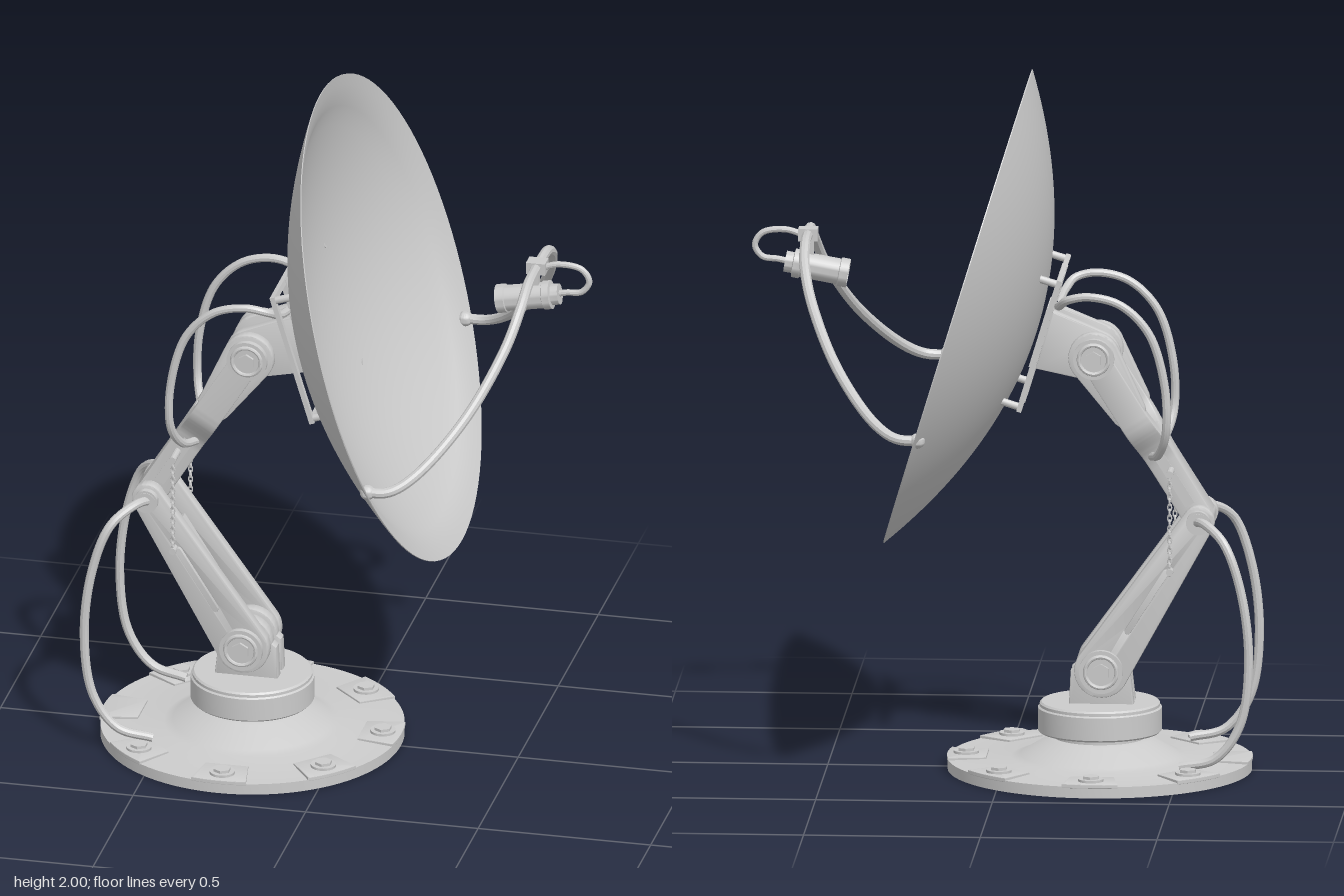
import * as THREE from 'three';
import { toCreasedNormals } from 'three/addons/utils/BufferGeometryUtils.js';

const material = new THREE.MeshStandardMaterial({ color: 0xcccccc, side: THREE.DoubleSide });
const V = (x, y, z) => new THREE.Vector3(x, y, z);

export function createModel() {
  const model = new THREE.Group();

  function add(name, geometry, x = 0, y = 0, z = 0, parent = model) {
    const mesh = new THREE.Mesh(toCreasedNormals(geometry, 0.6), material);
    mesh.name = name;
    mesh.position.set(x, y, z);
    parent.add(mesh);
    return mesh;
  }
  const lathe = (pts, seg = 64) =>
    new THREE.LatheGeometry(pts.map(([r, y]) => new THREE.Vector2(r, y)), seg);
  const pin = (r, length, seg = 32) => new THREE.CylinderGeometry(r, r, length, seg).rotateX(Math.PI / 2);
  const tube = (pts, r, seg = 64) =>
    new THREE.TubeGeometry(new THREE.CatmullRomCurve3(pts.map((p) => V(...p))), seg, r, 10);
  const extrude = (shape, depth, bevel = 0.005) => new THREE.ExtrudeGeometry(shape, {
    depth: depth - 2 * bevel, bevelEnabled: bevel > 0, bevelSize: bevel,
    bevelThickness: bevel, bevelSegments: 2, curveSegments: 20,
  }).translate(0, 0, bevel - depth / 2);

  // Tapered link outline running along +x with rounded ends and an optional slot
  function linkShape(length, r1, r2, slot) {
    const a = Math.acos((r1 - r2) / length);
    const s = new THREE.Shape();
    s.absarc(0, 0, r1, a, 2 * Math.PI - a, false);
    s.absarc(length, 0, r2, -a, a, false);
    s.closePath();
    if (slot) {
      const h = new THREE.Path();
      h.absarc(slot[0], 0, 0.012, Math.PI / 2, Math.PI * 1.5, false);
      h.absarc(slot[1], 0, 0.012, -Math.PI / 2, Math.PI / 2, false);
      h.closePath();
      s.holes.push(h);
    }
    return s;
  }

  // Round bearing cap with a ring and a hub on both sides of a joint
  function jointCaps(name, x, y, r, z) {
    for (const side of [1, -1]) {
      add(name, pin(r, 0.022), x, y, side * z);
      add(name + 'Ring', new THREE.TorusGeometry(r * 0.72, 0.006, 8, 32), x, y, side * (z + 0.011));
      add(name + 'Hub', pin(r * 0.42, 0.016, 6), x, y, side * (z + 0.012));
    }
  }

  const baseX = -0.27;
  const shoulder = V(-0.28, 0.297, 0), elbow = V(-0.555, 0.73, 0), wrist = V(-0.26, 1.2, 0);

  // Base plate, hollow underneath
  add('basePlate', lathe([[0.2, 0.004], [0.43, 0], [0.43, 0.032], [0.25, 0.036], [0.225, 0.043],
    [0.15, 0.088], [0.13, 0.092], [0.13, 0.06], [0.2, 0.004]], 96), baseX);
  add('turret', lathe([[0, 0.05], [0.128, 0.05], [0.128, 0.108], [0.17, 0.108], [0.175, 0.113],
    [0.175, 0.178], [0.17, 0.182], [0.17, 0.19], [0.165, 0.195], [0, 0.195]]), baseX);

  // Anchor pads with bolts around the rim
  const padShape = new THREE.Shape();
  padShape.moveTo(0.32, -0.06);
  padShape.lineTo(0.423, -0.077);
  padShape.quadraticCurveTo(0.437, 0, 0.423, 0.077);
  padShape.lineTo(0.32, 0.06);
  for (let i = 0; i < 8; i++) {
    const a = (i * Math.PI) / 4;
    const pad = extrude(padShape, 0.012, 0.002).rotateX(-Math.PI / 2).rotateY(a);
    add('anchorPad', pad, baseX, 0.034, 0);
    if (i === 4) continue;
    const bx = baseX + 0.378 * Math.cos(a), bz = -0.378 * Math.sin(a);
    add('boltWasher', new THREE.CylinderGeometry(0.036, 0.036, 0.008, 24), bx, 0.043, bz);
    add('boltHead', new THREE.CylinderGeometry(0.025, 0.025, 0.014, 6), bx, 0.048, bz);
  }

  // Shoulder lugs on the turret
  const lug = new THREE.Shape();
  lug.moveTo(-0.085, -0.11);
  lug.lineTo(0.09, -0.11);
  lug.lineTo(0.085, -0.01);
  lug.absarc(0, 0, 0.072, 0, Math.PI, false);
  for (const side of [1, -1]) add('shoulderLug', extrude(lug, 0.038), shoulder.x, shoulder.y, side * 0.03);
  add('shoulderPin', pin(0.035, 0.18), shoulder.x, shoulder.y, 0);
  jointCaps('shoulderCap', shoulder.x, shoulder.y, 0.062, 0.096);

  // Lower arm: two slotted plates with a cross web
  const lower = new THREE.Group();
  lower.name = 'lowerArm';
  lower.position.copy(shoulder);
  lower.rotation.z = Math.atan2(elbow.y - shoulder.y, elbow.x - shoulder.x);
  model.add(lower);
  const lowerLength = shoulder.distanceTo(elbow);
  for (const side of [1, -1]) {
    add('lowerArmPlate', extrude(linkShape(lowerLength, 0.072, 0.04, [0.14, 0.34]), 0.036), 0, 0, side * 0.072, lower);
    add('slotStrip', extrude(linkShape(0.2, 0.007, 0.007), 0.02, 0.002), 0.14, 0, side * 0.09, lower);
  }
  add('lowerArmWeb', new THREE.BoxGeometry(0.26, 0.025, 0.12), 0.26, 0, 0, lower);

  // Elbow joint
  add('elbowPin', pin(0.028, 0.22), elbow.x, elbow.y, 0);
  add('elbowBarrel', pin(0.042, 0.105), elbow.x, elbow.y, 0);
  for (const side of [1, -1]) add('elbowCap', pin(0.034, 0.02), elbow.x, elbow.y, side * 0.098);

  // Upper arm: a fork whose prongs hold the wrist
  const upper = new THREE.Group();
  upper.name = 'upperArm';
  upper.position.copy(elbow);
  upper.rotation.z = Math.atan2(wrist.y - elbow.y, wrist.x - elbow.x);
  model.add(upper);
  const L = elbow.distanceTo(wrist);
  const fork = new THREE.Shape();
  fork.moveTo(0, -0.045);
  fork.lineTo(0.19, -0.045);
  fork.bezierCurveTo(0.27, -0.05, 0.27, -0.1, 0.34, -0.1);
  fork.lineTo(L - 0.03, -0.1);
  fork.lineTo(L - 0.03, -0.072);
  fork.lineTo(0.37, -0.072);
  fork.bezierCurveTo(0.26, -0.065, 0.26, 0.065, 0.37, 0.072);
  fork.lineTo(L - 0.03, 0.072);
  fork.lineTo(L - 0.03, 0.1);
  fork.lineTo(0.34, 0.1);
  fork.bezierCurveTo(0.27, 0.1, 0.27, 0.05, 0.19, 0.045);
  fork.lineTo(0, 0.045);
  add('fork', extrude(fork, 0.085).rotateX(Math.PI / 2), 0, 0, 0, upper);
  for (const side of [1, -1]) {
    add('prongEnd', extrude(linkShape(0.18, 0.045, 0.068), 0.032), L - 0.18, 0, side * 0.086, upper);
    add('armRail', new THREE.BoxGeometry(0.16, 0.03, 0.012), 0.13, 0, side * 0.048, upper);
  }

  // Wrist joint and the bracket carrying the dish
  jointCaps('wristCap', wrist.x, wrist.y, 0.058, 0.108);
  add('wristPin', pin(0.045, 0.19), wrist.x, wrist.y, 0);
  const bracket = new THREE.Shape();
  bracket.absarc(0, 0, 0.068, 1.95, 4.9, false);
  bracket.lineTo(0.162, -0.035);
  bracket.lineTo(0.117, 0.122);
  for (const side of [1, -1]) add('dishBracket', extrude(bracket, 0.035), wrist.x, wrist.y, side * 0.05);

  // Dish group: local y is the dish axis, local x points down its face
  const head = new THREE.Group();
  head.name = 'dishHead';
  head.position.set(0.13, 1.325, 0);
  head.rotation.z = 0.297 - Math.PI / 2;
  model.add(head);
  const R = 0.7, depth = 0.232, profile = [];
  for (let i = 0; i <= 24; i++) {
    const r = (R * i) / 24;
    profile.push([r, -depth * (1 - (r / R) ** 2)]);
  }
  profile.push([R, 0.003], [0.67, -0.008], [0.635, -0.024], [0.615, -0.037], [0.595, -0.05]);
  for (let i = 19; i >= 0; i--) {
    const r = (0.595 * i) / 20;
    profile.push([r, -0.05 - 0.166 * (1 - (r / 0.595) ** 2)]);
  }
  add('dish', lathe(profile, 96), 0, 0, 0, head);

  // Mounting frame behind the dish
  for (const side of [1, -1]) {
    add('frameCrossbar', new THREE.BoxGeometry(0.016, 0.014, 0.39), side * 0.19, -0.252, 0, head);
    add('frameSidebar', new THREE.BoxGeometry(0.39, 0.014, 0.016), 0, -0.252, side * 0.187, head);
    add('frameRail', new THREE.BoxGeometry(0.39, 0.018, 0.028), 0, -0.252, side * 0.05, head);
    for (const end of [1, -1])
      add('frameStandoff', new THREE.CylinderGeometry(0.011, 0.011, 0.075, 12), end * 0.185, -0.222, side * 0.183, head);
  }
  add('mountPlate', new THREE.BoxGeometry(0.18, 0.02, 0.15), 0, -0.25, 0, head);

  // Feed support: one bent tube from rim to rim
  const half = [[0.2, 1.06, 0.612], [0.265, 1.064, 0.605], [0.33, 1.1, 0.565], [0.445, 1.23, 0.43],
    [0.527, 1.39, 0.285], [0.552, 1.48, 0.2], [0.556, 1.522, 0.12]];
  const mirrored = half.map(([x, y, z]) => [x, y, -z]).reverse();
  add('feedSupport', tube([...half, [0.556, 1.528, 0], ...mirrored], 0.015, 140));
  for (const side of [1, -1]) add('supportFoot', new THREE.SphereGeometry(0.022, 16, 12), 0.205, 1.06, side * 0.61);

  // Feed horn with its clamp and cable loop
  const horn = add('feedHorn', lathe([[0, -0.07], [0.032, -0.07], [0.034, -0.09], [0.041, -0.09], [0.041, -0.065],
    [0.037, -0.063], [0.037, 0.045], [0.041, 0.047], [0.041, 0.068], [0.03, 0.07], [0.03, 0.092], [0, 0.092]], 32),
    0.53, 1.432, 0);
  horn.rotation.z = 0.18 - Math.PI / 2;
  add('feedClampPost', new THREE.BoxGeometry(0.022, 0.09, 0.02), 0.55, 1.49, 0);
  add('feedClamp', new THREE.BoxGeometry(0.055, 0.035, 0.045), 0.555, 1.528, 0);
  add('feedCable', tube([[0.56, 1.522, 0], [0.62, 1.54, 0], [0.685, 1.53, 0], [0.706, 1.495, 0],
    [0.685, 1.462, 0], [0.64, 1.455, 0], [0.6, 1.446, 0]], 0.009, 48));

  // Cables, chains and their fittings on both sides
  for (const s of [1, -1]) {
    add('lowerCable', tube([[-0.545, 0.73, s * 0.09], [-0.575, 0.735, s * 0.14], [-0.635, 0.69, s * 0.2],
      [-0.685, 0.55, s * 0.218], [-0.706, 0.35, s * 0.222], [-0.68, 0.17, s * 0.222],
      [-0.61, 0.075, s * 0.22], [-0.51, 0.05, s * 0.21]], 0.013));
    add('upperCable', tube([[-0.42, 0.91, s * 0.05], [-0.445, 0.93, s * 0.12], [-0.468, 1.0, s * 0.17],
      [-0.465, 1.14, s * 0.178], [-0.42, 1.29, s * 0.178], [-0.34, 1.37, s * 0.178], [-0.25, 1.392, s * 0.176],
      [-0.19, 1.38, s * 0.165], [-0.165, 1.355, s * 0.12], [-0.155, 1.34, s * 0.05]], 0.012));
    for (let i = 0; i <= 18; i++) {
      const link = new THREE.TorusGeometry(0.008, 0.003, 6, 10).scale(0.7, 1.2, 1).rotateY((i % 2) * Math.PI / 2);
      add('chainLink', link, -0.475, 0.59 + i * 0.0155, s * 0.11);
    }
  }
  add('upperChainPin', pin(0.01, 0.24, 12), -0.475, 0.872, 0);
  add('lowerChainPin', pin(0.01, 0.24, 12), -0.475, 0.59, 0);

  return model;
}
